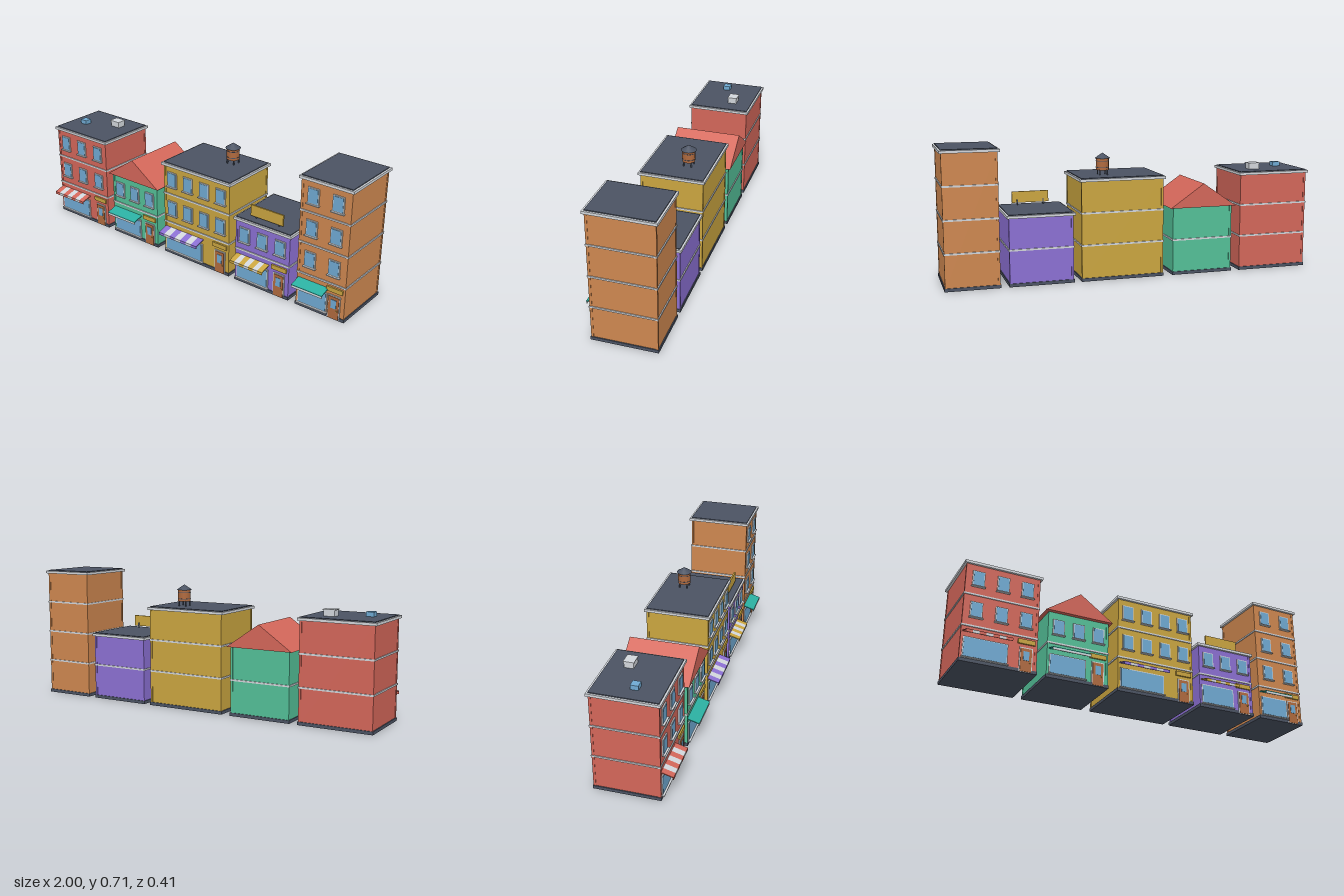
import * as THREE from 'three';

const paint = (name, color) => {
  const m = new THREE.MeshStandardMaterial({ color });
  m.name = name;
  return m;
};

export function createModel() {
  const red = paint('brick red', 0xd4675a);
  const green = paint('mint green', 0x54c098);
  const yellow = paint('mustard yellow', 0xcba640);
  const purple = paint('violet', 0x8c70d4);
  const orange = paint('orange', 0xcf8850);
  const slate = paint('slate', 0x4b5363);
  const trim = paint('pale trim', 0xd3d7dc);
  const glass = paint('window blue', 0x70abd4);
  const wood = paint('door brown', 0xb06a3e);
  const teal = paint('teal', 0x2bb0a2);

  const ZC = -0.0225, DEPTH = 0.331, FRONT = ZC + DEPTH / 2;
  const FLOOR = 0.17, GROUND = 0.19;

  const street = new THREE.Group();
  street.name = 'shopRow';

  const add = (parent, name, geometry, material, x, y, z) => {
    const mesh = new THREE.Mesh(geometry, material);
    mesh.name = name;
    mesh.position.set(x, y, z);
    parent.add(mesh);
    return mesh;
  };
  // Box given by its centre x, bottom y, centre z
  const box = (parent, name, material, w, h, d, x, y, z) =>
    add(parent, name, new THREE.BoxGeometry(w, h, d), material, x, y + h / 2, z);
  // Box standing on the facade plane
  const onFront = (parent, name, material, w, h, d, x, y, lift = 0) =>
    box(parent, name, material, w, h, d, x, y, FRONT + lift + d / 2);

  function addWindow(parent, name, x, y, w, h) {
    const g = new THREE.Group();
    g.name = name;
    onFront(g, 'frame', trim, w, h, 0.006, x, y);
    onFront(g, 'pane', glass, w - 0.01, h - 0.01, 0.002, x, y + 0.005, 0.006);
    onFront(g, 'sill', trim, w + 0.008, 0.005, 0.016, x, y - 0.004);
    parent.add(g);
  }

  function addDoor(parent, x) {
    const g = new THREE.Group();
    g.name = 'door';
    onFront(g, 'doorFrame', trim, 0.068, 0.13, 0.005, x, 0.002);
    onFront(g, 'doorLeaf', wood, 0.058, 0.122, 0.004, x, 0.004, 0.004);
    onFront(g, 'doorPane', glass, 0.03, 0.048, 0.002, x, 0.062, 0.008);
    onFront(g, 'doorKnob', yellow, 0.005, 0.005, 0.004, x + 0.02, 0.05, 0.008);
    onFront(g, 'doorSign', yellow, 0.09, 0.024, 0.009, x, 0.15);
    parent.add(g);
  }

  // Sloping canopy made of side-by-side strips with a hanging front edge
  function addAwning(parent, x, w, color, striped) {
    const g = new THREE.Group();
    g.name = 'awning';
    const run = 0.062, drop = 0.018, count = striped ? 7 : 1, sw = w / count;
    for (let i = 0; i < count; i++) {
      const mat = i % 2 ? trim : color;
      const sx = x - w / 2 + (i + 0.5) * sw;
      const strip = add(g, 'awningStrip', new THREE.BoxGeometry(sw, 0.005, Math.hypot(run, drop)),
        mat, sx, 0.149, FRONT + run / 2);
      strip.rotation.x = Math.atan2(drop, run);
      box(g, 'valance', striped ? mat : trim, sw, 0.013, 0.003, sx, 0.127, FRONT + run - 0.002);
    }
    parent.add(g);
  }

  function addBuilding({ name, x, w, floors, columns, wall, awning, striped, gable }) {
    const g = new THREE.Group();
    g.name = name;
    g.position.x = x;
    const top = GROUND + FLOOR * (floors - 1);

    // Walls, corner posts and plinth
    box(g, 'walls', wall, w, top - 0.004, DEPTH, 0, 0.004, ZC);
    for (const sx of [-1, 1]) for (const sz of [-1, 1])
      box(g, 'cornerPost', wall, 0.012, top - 0.004, 0.012,
        sx * (w / 2 - 0.004), 0.004, ZC + sz * (DEPTH / 2 - 0.004));
    box(g, 'plinth', slate, w + 0.01, 0.017, DEPTH + 0.01, 0, 0, ZC);

    // Floor bands and upper windows
    const pitch = w / columns;
    for (let f = 1; f < floors; f++) {
      const y = GROUND + FLOOR * (f - 1);
      box(g, 'floorBand', trim, w + 0.01, 0.009, DEPTH + 0.01, 0, y - 0.0045, ZC);
      for (let c = 0; c < columns; c++)
        addWindow(g, 'upperWindow', (c - (columns - 1) / 2) * pitch, y + 0.047, 0.063, 0.084);
    }

    // Shop front
    const aw = w * 0.53 + 0.03, ax = -w / 2 + aw / 2 + 0.006;
    addWindow(g, 'shopWindow', ax, 0.022, aw - 0.008, 0.108);
    addAwning(g, ax, aw, awning, striped);
    addDoor(g, w / 2 - 0.056);

    // Roof
    if (gable) {
      const hw = 0.185, shape = new THREE.Shape();
      shape.moveTo(-hw, 0).lineTo(hw, 0).lineTo(0, 0.127).closePath();
      add(g, 'gableRoof', new THREE.ExtrudeGeometry(shape, { depth: 0.365, bevelEnabled: false }),
        red, 0, top + 0.003, ZC - 0.1825);
    } else {
      box(g, 'cornice', trim, w + 0.024, 0.014, DEPTH + 0.024, 0, top - 0.006, ZC);
      box(g, 'roofDeck', slate, w + 0.004, 0.008, DEPTH + 0.004, 0, top + 0.0045, ZC);
    }
    street.add(g);
    return { group: g, roofY: top + 0.012 };
  }

  const redHouse = addBuilding({ name: 'redBuilding', x: -0.794, w: 0.385, floors: 3, columns: 3,
    wall: red, awning: red, striped: true });
  addBuilding({ name: 'greenHouse', x: -0.381, w: 0.33, floors: 2, columns: 3,
    wall: green, awning: teal, gable: true });
  const yellowHouse = addBuilding({ name: 'yellowBuilding', x: 0.064, w: 0.44, floors: 3, columns: 4,
    wall: yellow, awning: purple, striped: true });
  const purpleHouse = addBuilding({ name: 'purpleBuilding', x: 0.497, w: 0.33, floors: 2, columns: 3,
    wall: purple, awning: yellow, striped: true });
  addBuilding({ name: 'orangeTower', x: 0.851, w: 0.274, floors: 4, columns: 2,
    wall: orange, awning: teal });

  // Vent unit and skylight on the red building
  box(redHouse.group, 'ventUnit', trim, 0.06, 0.034, 0.048, 0.077, redHouse.roofY, -0.08);
  box(redHouse.group, 'ventCap', trim, 0.066, 0.005, 0.054, 0.077, redHouse.roofY + 0.03, -0.08);
  box(redHouse.group, 'skylight', glass, 0.042, 0.024, 0.04, -0.101, redHouse.roofY, 0.005);

  // Water tank on the yellow building
  const tank = new THREE.Group();
  tank.name = 'waterTank';
  tank.position.set(0.078, yellowHouse.roofY, -0.07);
  for (const sx of [-1, 1]) for (const sz of [-1, 1])
    box(tank, 'tankLeg', slate, 0.006, 0.03, 0.006, sx * 0.021, 0, sz * 0.021);
  add(tank, 'tankBarrel', new THREE.CylinderGeometry(0.034, 0.034, 0.062, 14), wood, 0, 0.057, 0);
  for (const y of [0.04, 0.074])
    add(tank, 'tankHoop', new THREE.CylinderGeometry(0.035, 0.035, 0.003, 14), slate, 0, y, 0);
  add(tank, 'tankLid', new THREE.ConeGeometry(0.041, 0.028, 14), slate, 0, 0.102, 0);
  yellowHouse.group.add(tank);

  // Blank billboard on the purple building
  const board = new THREE.Group();
  board.name = 'billboard';
  board.position.set(0, purpleHouse.roofY, 0.108);
  for (const sx of [-1, 1]) box(board, 'boardPost', slate, 0.006, 0.03, 0.006, sx * 0.07, 0, -0.006);
  box(board, 'boardPanel', yellow, 0.198, 0.06, 0.009, 0, 0.012, 0);
  purpleHouse.group.add(board);

  return street;
}
